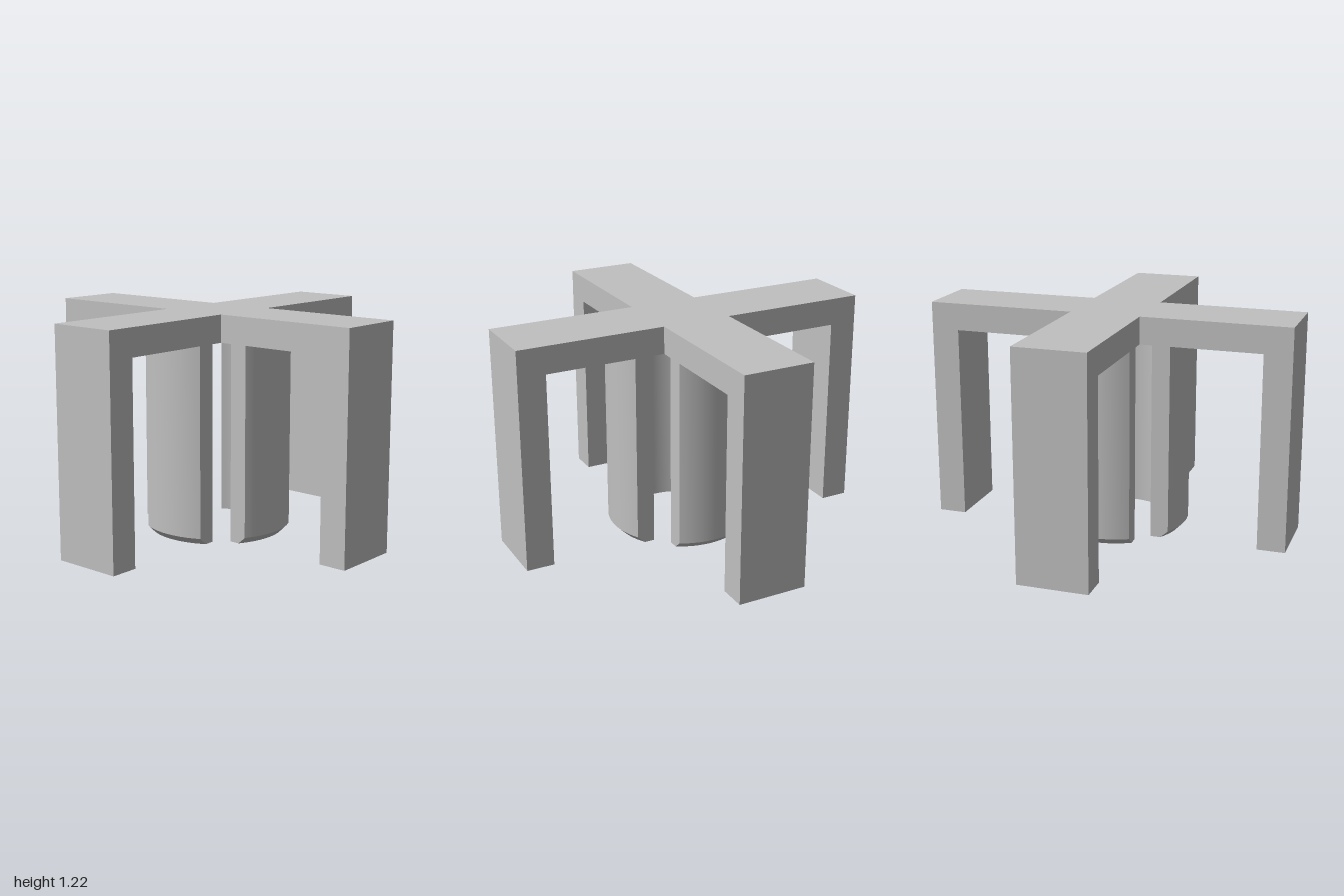
import * as THREE from 'three';
import { toCreasedNormals } from 'three/addons/utils/BufferGeometryUtils.js';

const HALF = 0.191;   // half width of arms, legs and prongs
const TOP = 1.215;    // overall height
const UNDER = 1.067;  // underside of the cross
const INNER = 0.848;  // inner face of the legs

// Extrude an (x, y) outline to the arm width, centred on z
function extrudeArm(points) {
  const shape = new THREE.Shape(points.map(([x, y]) => new THREE.Vector2(x, y)));
  return new THREE.ExtrudeGeometry(shape, { depth: HALF * 2, bevelEnabled: false }).translate(0, 0, -HALF);
}

// Curved prong on +x: a slice of a tube with flat sides and a chamfered foot
function prongGeometry() {
  const steps = 16, rIn = 0.322;
  const levels = [[0, 0.368], [0.038, 0.405], [UNDER, 0.405]];
  const zAt = (i) => -HALF + (2 * HALF * i) / steps;
  const at = (r, y, i) => [Math.sqrt(r * r - zAt(i) ** 2), y, zAt(i)];
  const rings = levels.map(([y, rOut]) => {
    const ring = [];
    for (let i = 0; i <= steps; i++) ring.push(at(rOut, y, i));
    for (let i = steps; i >= 0; i--) ring.push(at(rIn, y, i));
    return ring;
  });
  const pos = [];
  const quad = (a, b, c, d) => [a, b, c, a, c, d].forEach((p) => pos.push(...p));
  const n = rings[0].length;
  for (let l = 0; l < rings.length - 1; l++) {
    for (let i = 0; i < n; i++) {
      const j = (i + 1) % n;
      quad(rings[l][i], rings[l + 1][i], rings[l + 1][j], rings[l][j]);
    }
  }
  // Foot face
  const foot = rings[0];
  for (let i = 0; i < steps; i++) quad(foot[i], foot[i + 1], foot[n - 2 - i], foot[n - 1 - i]);
  const geo = new THREE.BufferGeometry();
  geo.setAttribute('position', new THREE.Float32BufferAttribute(pos, 3));
  return toCreasedNormals(geo, 0.5);
}

export function createModel() {
  const grey = new THREE.MeshStandardMaterial({ color: 0xc0c0c0 });
  grey.name = 'grey';
  const model = new THREE.Group();
  model.name = 'crossStand';
  const add = (name, geo, turn = 0) => {
    const mesh = new THREE.Mesh(geo, grey);
    mesh.name = name;
    mesh.rotation.y = turn;
    model.add(mesh);
  };

  // Side-to-side bridge with its two legs
  add('sideBridge', extrudeArm([
    [-1, 0], [-INNER, 0], [-INNER, UNDER], [INNER, UNDER], [INNER, 0], [1, 0], [1, TOP], [-1, TOP],
  ]));

  // Front and back arms, each with a leg
  const arm = extrudeArm([[HALF, UNDER], [INNER, UNDER], [INNER, 0], [1, 0], [1, TOP], [HALF, TOP]]);
  add('frontArm', arm, -Math.PI / 2);
  add('backArm', arm, Math.PI / 2);

  // Four prongs hanging under the cross
  const prong = prongGeometry();
  ['leftProng', 'backProng', 'rightProng', 'frontProng'].forEach((name, i) => add(name, prong, (i * Math.PI) / 2));

  return model;
}
